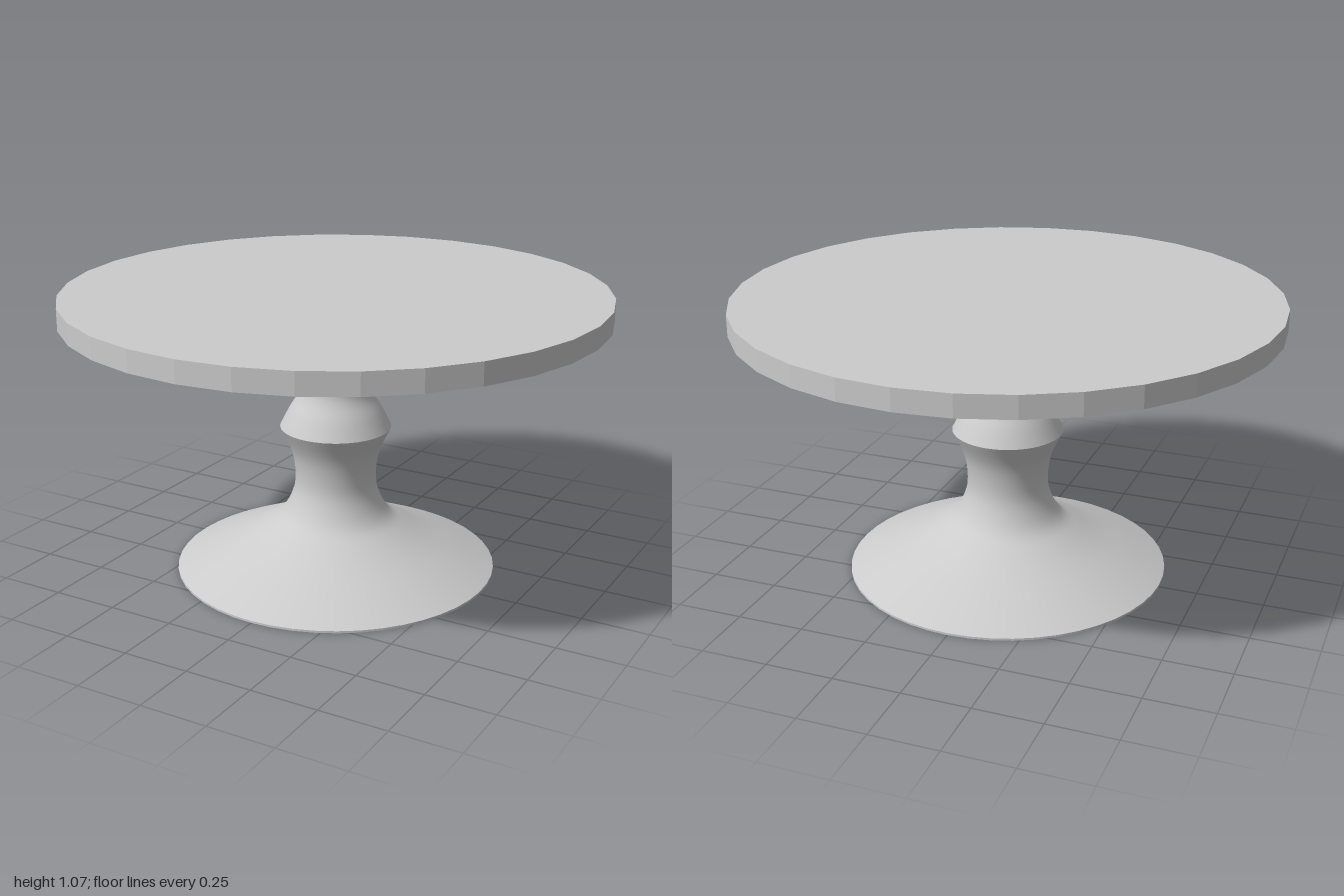
import * as THREE from 'three';

const SIDES = 48;

export function createModel() {
  const model = new THREE.Group();
  model.name = 'pedestalTable';
  const material = new THREE.MeshStandardMaterial({ color: 0xcccccc, side: THREE.DoubleSide });
  const faceted = new THREE.MeshStandardMaterial({ color: 0xcccccc, flatShading: true });

  const add = (name, geometry, mat = material) => {
    const mesh = new THREE.Mesh(geometry, mat);
    mesh.name = name;
    model.add(mesh);
    return mesh;
  };
  const vectors = (profile) => profile.map(([r, y]) => new THREE.Vector2(r, y));
  // Turned part with a smooth curve through a few [radius, height] points
  const turned = (name, profile, steps) =>
    add(name, new THREE.LatheGeometry(new THREE.SplineCurve(vectors(profile)).getPoints(steps), SIDES));

  // Round top: 32 flat sides
  add('tableTop', new THREE.CylinderGeometry(1, 1, 0.08, 32), faceted).position.y = 1.03;

  // Flared foot and lower stem, up to the collar edge
  turned('flaredBase', [
    [0.605, 0.008], [0.48, 0.065], [0.37, 0.115], [0.28, 0.162], [0.208, 0.21],
    [0.165, 0.285], [0.152, 0.36], [0.165, 0.46], [0.208, 0.555],
  ], 32);

  // Upper stem, from the collar edge to the top
  turned('upperStem', [
    [0.208, 0.555], [0.175, 0.62], [0.14, 0.68], [0.131, 0.73],
    [0.141, 0.81], [0.17, 0.885], [0.224, 0.99],
  ], 24);

  // Thin rim standing on the floor
  add('baseRim', new THREE.LatheGeometry(vectors([[0.605, 0], [0.605, 0.008]]), SIDES));

  // Hollow underside: a shallow cone, then a narrow bore with a sharp edge between them
  add('baseUnderside', new THREE.LatheGeometry(vectors([[0.195, 0.19], [0.605, 0]]), SIDES));
  add('stemBore', new THREE.LatheGeometry(vectors([[0.12, 0.99], [0.13, 0.36], [0.195, 0.19]]), SIDES));

  return model;
}
